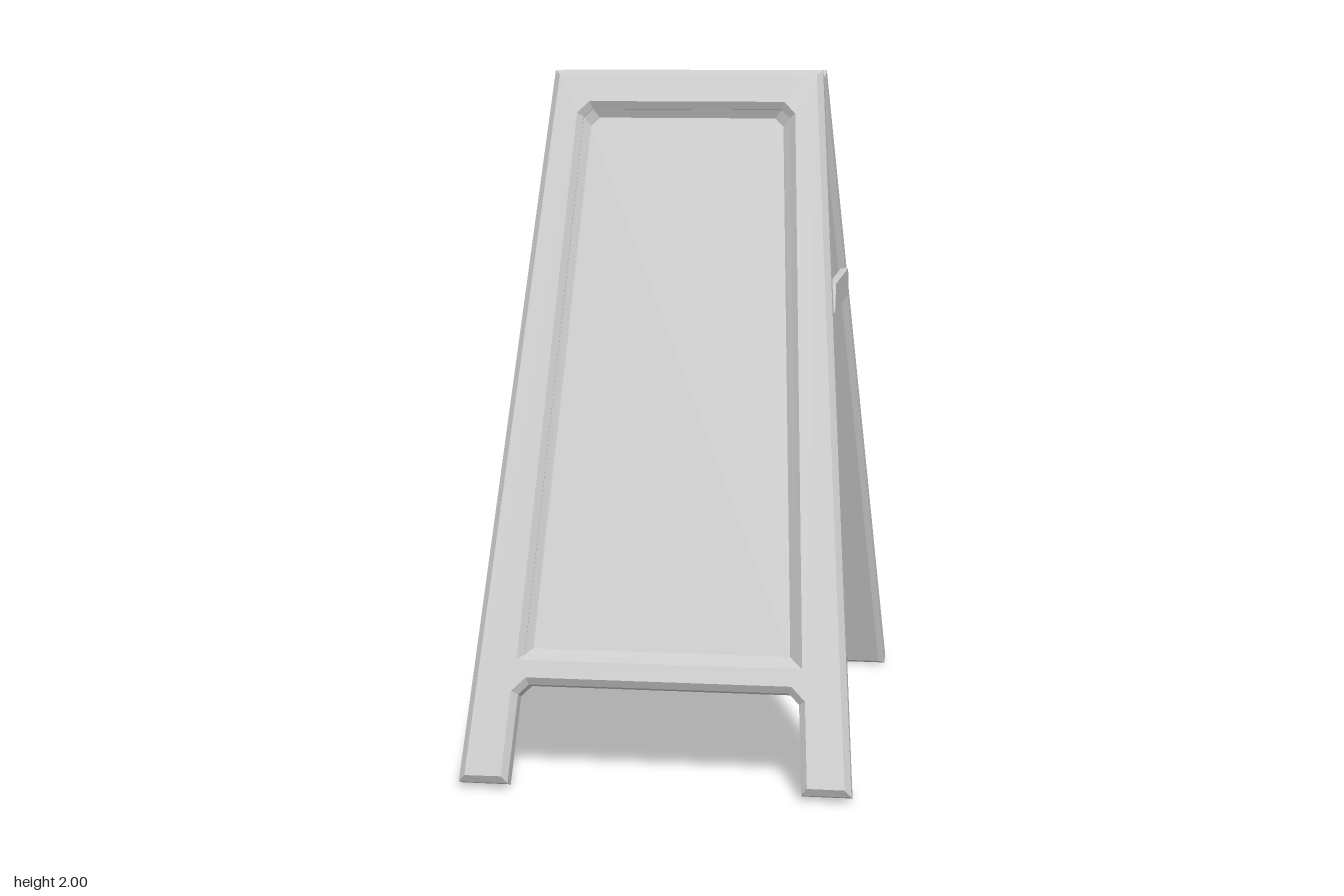
import * as THREE from 'three';

const material = new THREE.MeshStandardMaterial({ color: 0xcccccc, flatShading: true });
const TILT = THREE.MathUtils.degToRad(20.3);
const THICK = 0.085, BEVEL = 0.018;

function mesh(geometry, name) {
  const m = new THREE.Mesh(geometry, material);
  m.name = name;
  return m;
}

// Right half of an outline plus its mirror image, counter-clockwise from bottom to top
function mirrored(half) {
  return [...half, ...half.map(([x, y]) => [-x, y]).reverse()].map(([x, y]) => new THREE.Vector2(x, y));
}

// Tapered window outline with clipped upper corners, shrunk by an inset
function windowOutline(inset) {
  const bottom = 0.388 - inset, top = 0.305 - inset;
  return mirrored([
    [bottom, 0.365 + inset],
    [top + 0.002, 1.965 - inset],
    [top - 0.023, 1.99 - inset],
  ]);
}

// Bevelled frame with two legs and a window
function frameGeometry() {
  const shape = new THREE.Shape(mirrored([
    [0.37, 0.28], [0.4, 0.25], [0.415, 0], [0.555, 0], [0.4, 2.11],
  ]));
  shape.holes.push(new THREE.Path(windowOutline(0)));
  const geometry = new THREE.ExtrudeGeometry(shape, {
    depth: THICK - 2 * BEVEL, bevelThickness: BEVEL, bevelSize: BEVEL, bevelOffset: -BEVEL, bevelSegments: 1,
  });
  return geometry.translate(0, 0, BEVEL);
}

// Sloped trim leading from the window edge down to the board
function trimGeometry() {
  const rings = [[-0.002, 0.066], [0.02, 0.045]].map(([inset, z]) =>
    windowOutline(inset).map((p) => [p.x, p.y, z]));
  const [outer, inner] = rings, n = outer.length, positions = [];
  for (let i = 0; i < n; i++) {
    const j = (i + 1) % n;
    positions.push(...outer[i], ...outer[j], ...inner[j], ...outer[i], ...inner[j], ...inner[i]);
  }
  const geometry = new THREE.BufferGeometry();
  geometry.setAttribute('position', new THREE.Float32BufferAttribute(positions, 3));
  geometry.computeVertexNormals();
  return geometry;
}

// One leaning side: frame, trim, recessed board and flush inner face
function createSide(name) {
  const leaf = new THREE.Group();
  leaf.add(mesh(frameGeometry(), 'frame'));
  leaf.add(mesh(trimGeometry(), 'windowTrim'));
  leaf.add(mesh(new THREE.ShapeGeometry(new THREE.Shape(windowOutline(0.02))).translate(0, 0, 0.045), 'board'));
  leaf.add(mesh(new THREE.ShapeGeometry(new THREE.Shape(windowOutline(-0.02))).rotateY(Math.PI), 'boardBack'));
  leaf.rotation.x = -TILT;
  leaf.position.set(0, -0.006, 0.735);
  const side = new THREE.Group();
  side.name = name;
  side.add(leaf);
  return side;
}

// Flat strut joining the two sides, its ends cut along the slope
function createBrace(name, x) {
  const shape = new THREE.Shape(mirrored([[0.267, 1.305], [0.24, 1.385]]));
  const geometry = new THREE.ExtrudeGeometry(shape, { depth: 0.022, bevelEnabled: false });
  const brace = mesh(geometry.rotateY(Math.PI / 2), name);
  brace.position.x = x;
  return brace;
}

export function createModel() {
  const model = new THREE.Group();
  model.name = 'foldingSign';
  const back = createSide('backSide');
  back.rotation.y = Math.PI;
  model.add(createSide('frontSide'), back);
  model.add(createBrace('leftBrace', 0.435), createBrace('rightBrace', -0.432));
  return model;
}
